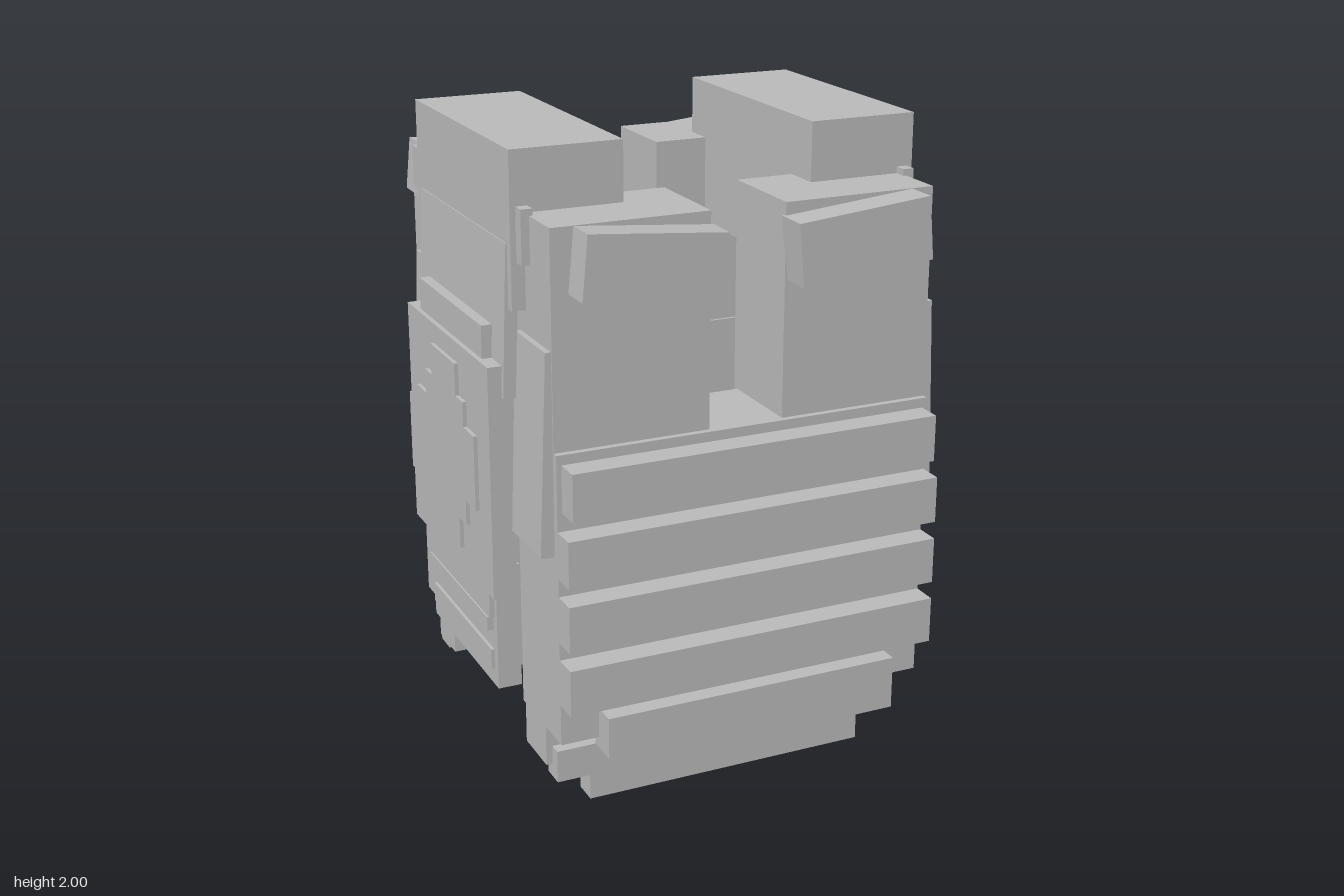
import * as THREE from 'three';

export function createModel() {
  const root = new THREE.Group();
  const grey = new THREE.MeshStandardMaterial({ color: 0xbbbbbb });
  grey.name = 'plainGrey';

  // box given by its x, y and z ranges, optionally tilted about z
  function box(name, x0, x1, y0, y1, z0, z1, tilt = 0) {
    const g = new THREE.BoxGeometry(Math.abs(x1 - x0), y1 - y0, Math.abs(z1 - z0));
    const m = new THREE.Mesh(g, grey);
    m.name = name;
    m.position.set((x0 + x1) / 2, (y0 + y1) / 2, (z0 + z1) / 2);
    m.rotation.z = tilt;
    root.add(m);
    return m;
  }
  // the same box on both sides
  function pair(name, x0, x1, y0, y1, z0, z1, tilt = 0) {
    box(name + 'Left', x0, x1, y0, y1, z0, z1, tilt);
    box(name + 'Right', -x1, -x0, y0, y1, z0, z1, -tilt);
  }

  // front panel
  box('frontPanel', -0.6, 0.6, 0.27, 1.175, 0.33, 0.64);
  pair('frontChest', 0.118, 0.6, 1.17, 1.82, 0.31, 0.62);
  box('frontHem', -0.6, 0.6, 0.14, 0.28, 0.35, 0.515);
  box('frontHemStrip', -0.58, 0.575, 0.097, 0.2, 0.478, 0.555);
  box('frontHemEdge', -0.465, 0.46, 0, 0.14, 0.45, 0.53);

  // front webbing
  box('frontStrap', -0.585, 0.585, 1.0, 1.145, 0.62, 0.72);
  for (let i = 0; i < 3; i++) {
    const y = 0.8 - i * 0.2;
    box('frontStrap', -0.6, 0.6, y, y + 0.145, 0.62, 0.72);
  }
  box('lowerFrontStrap', -0.48, 0.475, 0.235, 0.365, 0.61, 0.715);
  pair('frontFlap', 0.117, 0.54, 1.61, 1.8, 0.61, 0.72, 0.092);

  // back panel
  box('backPanel', -0.6, 0.6, 0.27, 1.2, -0.585, -0.27);
  pair('backChest', 0.125, 0.6, 1.17, 1.82, -0.565, -0.28);
  box('backHem', -0.6, 0.6, 0.14, 0.28, -0.47, -0.32);
  box('backHemStrip', -0.58, 0.575, 0.097, 0.2, -0.52, -0.44);
  box('backHemEdge', -0.465, 0.46, 0, 0.14, -0.49, -0.4);

  // overlapping back flaps, each sloping down to the middle
  pair('topBackFlap', 0.18, 0.595, 1.645, 1.81, -0.635, -0.45, 0.1);
  pair('middleBackFlap', 0.12, 0.53, 1.51, 1.675, -0.67, -0.555, 0.1);
  pair('lowerBackFlap', 0.04, 0.43, 1.34, 1.5, -0.69, -0.55, 0.1);
  box('backClasp', -0.115, 0.115, 1.18, 1.34, -0.72, -0.54);

  // staggered back plates
  for (let r = 0; r < 4; r++) {
    const y1 = 1.257 - r * 0.232, y0 = y1 - 0.2;
    if (r % 2 === 0) {
      pair('backPlateOuter', 0.28, 0.6, y0, y1, -0.655, -0.58);
      box('backPlateMiddle', -0.23, 0.23, y0, y1, -0.655, -0.58);
    } else {
      pair('backPlate', 0.15, 0.48, y0, y1, -0.655, -0.58);
    }
  }
  box('spineBar', -0.055, 0.055, 0.485, 1.045, -0.69, -0.58);
  box('spineBuckle', -0.09, 0.09, 0.185, 0.32, -0.675, -0.58);

  // shoulders
  pair('shoulder', 0.3, 0.642, 1.54, 2.0, -0.38, 0.43);
  pair('frontClip', 0.59, 0.625, 1.68, 1.84, 0.43, 0.47);
  pair('backClip', 0.59, 0.625, 1.68, 1.84, -0.42, -0.38);
  pair('backSideClip', 0.58, 0.63, 0.715, 0.98, -0.61, -0.53);

  // leaning side plates
  pair('upperSidePlate', 0.615, 0.655, 1.275, 1.73, -0.345, 0.4, 0.04);
  pair('frontSidePlate', 0.588, 0.63, 0.86, 1.47, 0.385, 0.615, 0.04);
  pair('backSidePlate', 0.588, 0.63, 0.89, 1.49, -0.51, -0.345, 0.04);

  // side panels
  pair('lowerSidePanel', 0.6, 0.675, 0.32, 0.72, -0.275, 0.32);
  pair('sidePouch', 0.63, 0.705, 0.65, 1.37, -0.345, 0.385);
  pair('pouchLip', 0.645, 0.69, 1.2, 1.47, -0.26, 0.3);
  pair('sideStrip', 0.66, 0.69, 0.55, 0.66, -0.27, 0.3);
  pair('sideStripMiddle', 0.66, 0.695, 0.505, 0.55, -0.25, 0.29);
  pair('sideStripLow', 0.66, 0.685, 0.375, 0.44, -0.25, 0.29);

  // stepped round pad on each side pouch, drawn in z and y
  const corners = [[0.117, 0.295], [0.185, 0.195], [0.28, 0.117]];
  const quarter = [];
  corners.forEach(([w, h], i) => {
    if (i > 0) quarter.push([corners[i - 1][0], h]);
    quarter.push([w, h]);
  });
  const half = quarter.concat(quarter.slice().reverse().map(([w, h]) => [w, -h]));
  const outline = half.concat(half.slice().reverse().map(([w, h]) => [-w, h]));
  const shape = new THREE.Shape(outline.map(([w, h]) => new THREE.Vector2(w * 0.94, h)));
  for (const s of [1, -1]) {
    const pad = new THREE.Mesh(
      new THREE.ExtrudeGeometry(shape, { depth: 0.025, bevelEnabled: false }), grey);
    pad.name = s > 0 ? 'sidePadLeft' : 'sidePadRight';
    pad.rotation.y = s * Math.PI / 2;
    pad.position.set(s * 0.692, 1.013, 0.018);
    root.add(pad);
  }
  return root;
}
